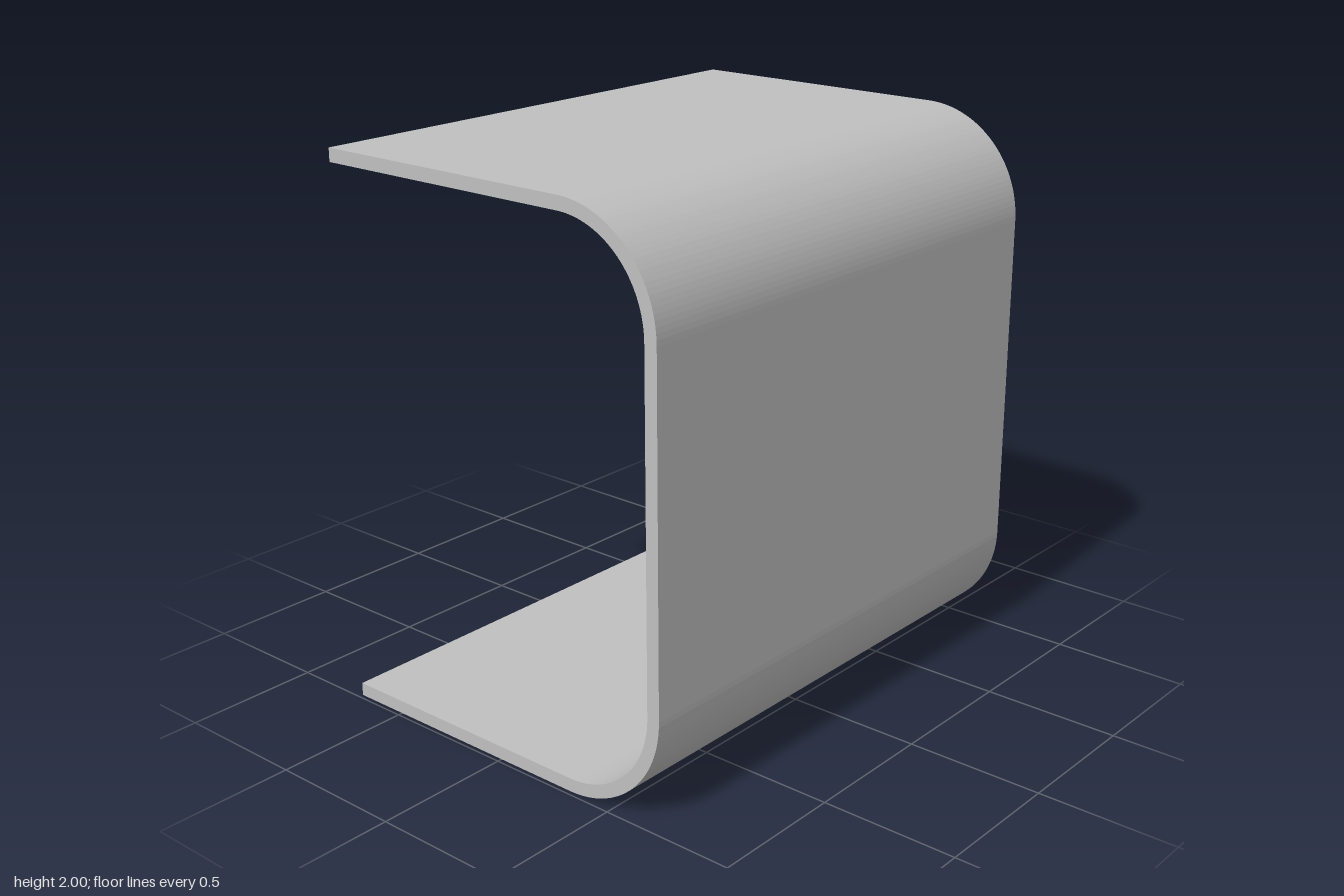
import * as THREE from 'three';

const HALF_X = 0.71, HALF_Z = 0.983, HEIGHT = 2, WALL = 0.048, RADIUS = 0.39;

export function createModel() {
  const model = new THREE.Group();
  model.name = 'clipCover';
  const grey = new THREE.MeshStandardMaterial({ color: 0xc0c0c0 });
  grey.name = 'grey plastic';

  const add = (name, geometry) => {
    const mesh = new THREE.Mesh(geometry, grey);
    mesh.name = name;
    model.add(mesh);
    return mesh;
  };
  const extrude = (shape, depth) =>
    new THREE.ExtrudeGeometry(shape, { depth, bevelEnabled: false, curveSegments: 16 });

  // C-shaped shell, open towards -x
  const cx = HALF_X - RADIUS, top = HEIGHT - RADIUS, inner = RADIUS - WALL;
  const profile = new THREE.Shape();
  profile.moveTo(-HALF_X, 0);
  profile.lineTo(cx, 0);
  profile.absarc(cx, RADIUS, RADIUS, -Math.PI / 2, 0, false);
  profile.absarc(cx, top, RADIUS, 0, Math.PI / 2, false);
  profile.lineTo(-HALF_X, HEIGHT);
  profile.lineTo(-HALF_X, HEIGHT - WALL);
  profile.absarc(cx, top, inner, Math.PI / 2, 0, true);
  profile.absarc(cx, RADIUS, inner, 0, -Math.PI / 2, true);
  profile.lineTo(-HALF_X, WALL);
  profile.closePath();
  add('shell', extrude(profile, HALF_Z * 2)).position.z = -HALF_Z;

  // U-shaped bracket on the inside of the wall, flush with the back edge
  const bracketX = 0.556, wallX = HALF_X - WALL, bracketEnd = -0.75;
  const box = (name, x0, x1, y0, y1, z0, z1) =>
    add(name, new THREE.BoxGeometry(x1 - x0, y1 - y0, z1 - z0))
      .position.set((x0 + x1) / 2, (y0 + y1) / 2, (z0 + z1) / 2);
  box('bracketTopLeg', bracketX, wallX, 1.17, 1.23, -HALF_Z, bracketEnd);
  box('bracketBottomLeg', bracketX, wallX, 0.77, 0.83, -HALF_Z, bracketEnd);
  box('bracketBridge', bracketX, wallX, 0.83, 1.17, -0.84, bracketEnd);

  // Spring arm with a hooked tip: plan outline as x, -z
  const outline = [
    [bracketX, 0.75], [0.595, 0.75], [0.595, 0.3], [bracketX, 0.3],
    [0.52, 0.34], [0.52, 0.385], [bracketX, 0.4],
  ].map(([x, y]) => new THREE.Vector2(x, y));
  const arm = extrude(new THREE.Shape(outline), 0.155);
  arm.rotateX(-Math.PI / 2);
  add('latchArm', arm).position.y = 0.925;

  return model;
}
